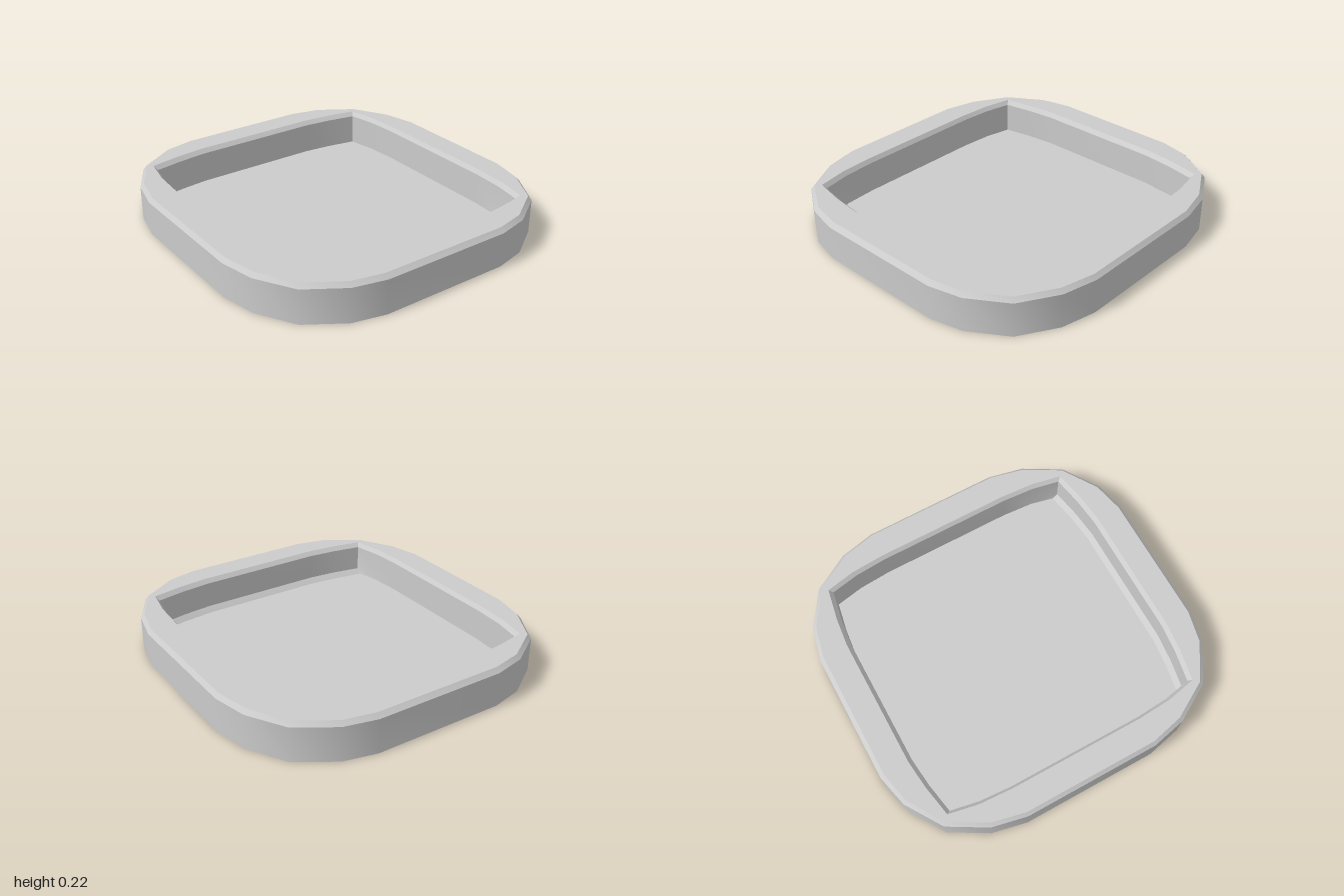
import * as THREE from 'three';
import { toCreasedNormals } from 'three/addons/utils/BufferGeometryUtils.js';

const material = new THREE.MeshStandardMaterial({ color: 0xcccccc, side: THREE.DoubleSide });

// Mirror one quarter outline (from the +x side round to +z) into a closed ring at height y
function ring(quarter, y) {
  const q = quarter.map(([x, z]) => [x, z]);
  const r = [...q].reverse();
  return [
    ...q,
    ...r.map(([x, z]) => [-x, z]),
    ...q.map(([x, z]) => [-x, -z]),
    ...r.map(([x, z]) => [x, -z]),
  ].map(([x, z]) => new THREE.Vector3(x, y, z));
}

// Skin successive rings, skipping collapsed triangles
function skin(name, rings) {
  const points = [];
  const tri = (a, b, c) => {
    if (new THREE.Triangle(a, b, c).getArea() > 1e-7) points.push(a, b, c);
  };
  for (let k = 0; k < rings.length - 1; k++) {
    const lower = rings[k], upper = rings[k + 1], n = lower.length;
    for (let i = 0; i < n; i++) {
      const j = (i + 1) % n;
      tri(lower[i], upper[i], upper[j]);
      tri(lower[i], upper[j], lower[j]);
    }
  }
  const geometry = new THREE.BufferGeometry().setFromPoints(points);
  const mesh = new THREE.Mesh(toCreasedNormals(geometry, 0.6), material);
  mesh.name = name;
  return mesh;
}

export function createModel() {
  const top = 0.225, edge = 0.2, floorY = 0.015, bevel = 0.03;

  // Quarter outlines, outside to inside
  const outer = [[0.955, 0.4], [0.91, 0.605], [0.785, 0.82], [0.575, 0.955], [0.385, 1]];
  const rimOuter = [[0.935, 0.4], [0.89, 0.595], [0.77, 0.805], [0.565, 0.935], [0.385, 0.975]];
  const rimInner = [[0.787, 0.4], [0.775, 0.6], [0.74, 0.775], [0.555, 0.81], [0.385, 0.828]];
  const basin = [[0.77, 0.4], [0.757, 0.59], [0.725, 0.755], [0.55, 0.787], [0.38, 0.805]];

  // Foot of the basin wall: raised along the front, where a bevel runs down to the floor
  const foot = ring(basin, floorY);
  const floor = ring(basin, floorY);
  foot.forEach((p, i) => {
    if (p.z > 0.7) {
      p.y += bevel;
      floor[i].z -= bevel;
    }
  });
  const centre = floor.map(() => new THREE.Vector3(0, floorY, 0));

  const group = new THREE.Group();
  group.name = 'tray';
  group.add(
    skin('outerWall', [ring(outer, 0), ring(outer, edge), ring(rimOuter, top)]),
    skin('rim', [ring(rimOuter, top), ring(rimInner, top), ring(basin, edge)]),
    skin('basinWall', [ring(basin, edge), foot, floor]),
    skin('basinFloor', [floor, centre]),
  );
  return group;
}
